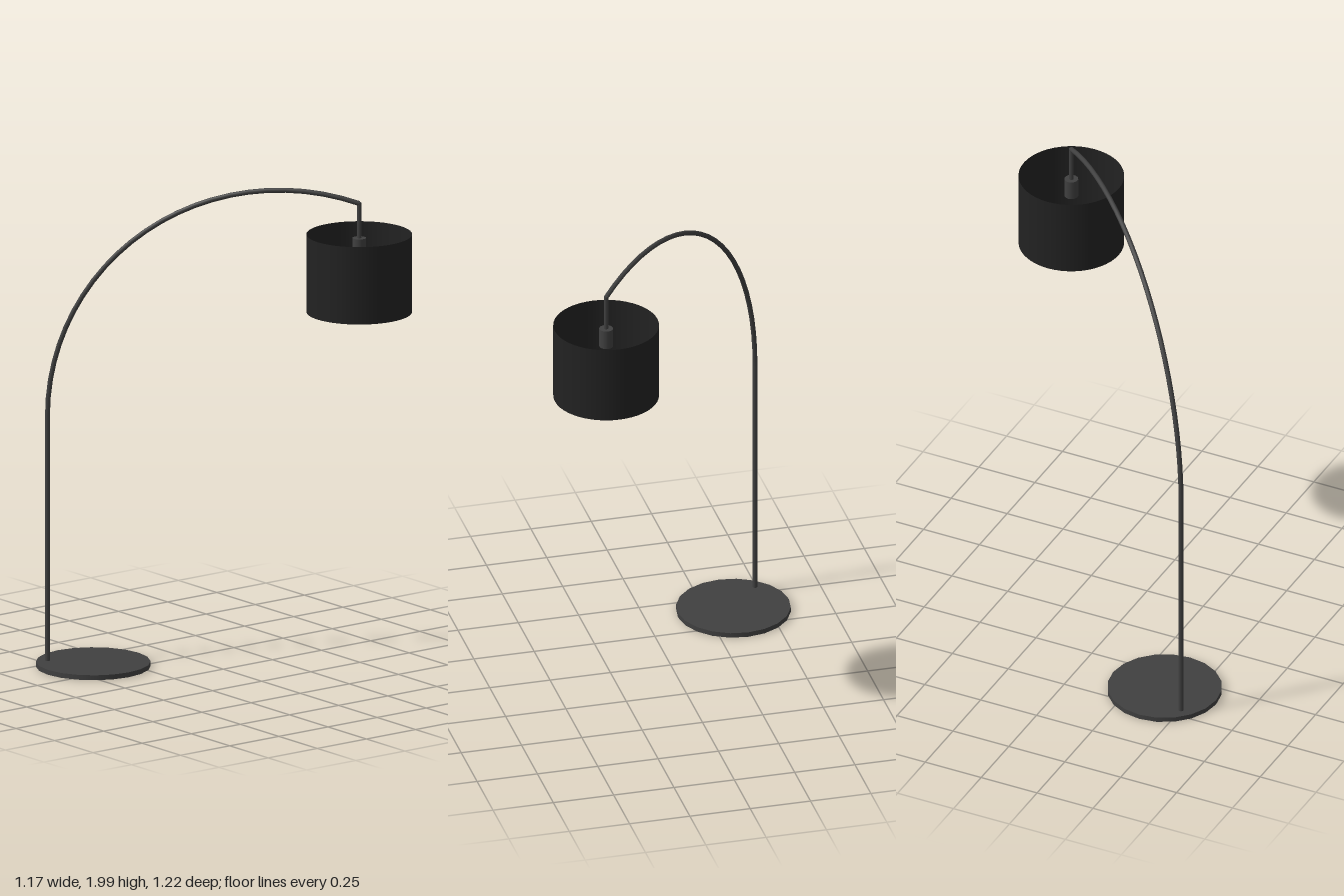
import * as THREE from 'three';

const metal = new THREE.MeshStandardMaterial({ color: 0x404040 });
const fabric = new THREE.MeshStandardMaterial({ color: 0x222222, side: THREE.DoubleSide });

const POLE = new THREE.Vector3(-0.485, 0, 0.515);   // foot of the pole
const LAMP = new THREE.Vector3(0.373, 0, -0.4);     // point below the arm's tip
const TUBE = 0.01;

export function createModel() {
  const model = new THREE.Group();
  model.name = 'arcFloorLamp';

  const add = (name, geometry, material, x = 0, y = 0, z = 0) => {
    const mesh = new THREE.Mesh(geometry, material);
    mesh.name = name;
    mesh.position.set(x, y, z);
    model.add(mesh);
    return mesh;
  };
  // Upright cylinder between two heights
  const upright = (name, radius, y0, y1, sides, at, material = metal, open = false) =>
    add(name, new THREE.CylinderGeometry(radius, radius, y1 - y0, sides, 1, open),
      material, at.x, (y0 + y1) / 2, at.z);

  // Round foot plate
  upright('base', 0.23, 0, 0.02, 20, new THREE.Vector3(-0.36, 0, 0.38));

  // Straight pole, then a circular arc sweeping diagonally over to the lamp
  const radius = 0.955, springY = 1.03;
  const span = POLE.distanceTo(LAMP);
  const direction = LAMP.clone().sub(POLE).normalize();
  const endAngle = Math.acos((span - radius) / radius);
  const tipY = springY + radius * Math.sin(endAngle);

  upright('pole', TUBE, 0.01, springY, 12, POLE);

  class ArmCurve extends THREE.Curve {
    getPoint(t, target = new THREE.Vector3()) {
      const a = THREE.MathUtils.lerp(Math.PI, endAngle, t);
      target.copy(POLE).addScaledVector(direction, radius * (1 + Math.cos(a)));
      target.y = springY + radius * Math.sin(a);
      return target;
    }
  }
  add('arm', new THREE.TubeGeometry(new ArmCurve(), 24, TUBE, 12), metal);

  // Hanging rod and bulb socket
  upright('hangingRod', TUBE * 0.9, 1.76, tipY + 0.004, 12, LAMP);
  upright('socket', 0.028, 1.715, 1.795, 20, LAMP);

  // Drum shade, open at both ends
  upright('shade', 0.212, 1.49, 1.81, 48, LAMP, fabric, true);

  return model;
}
